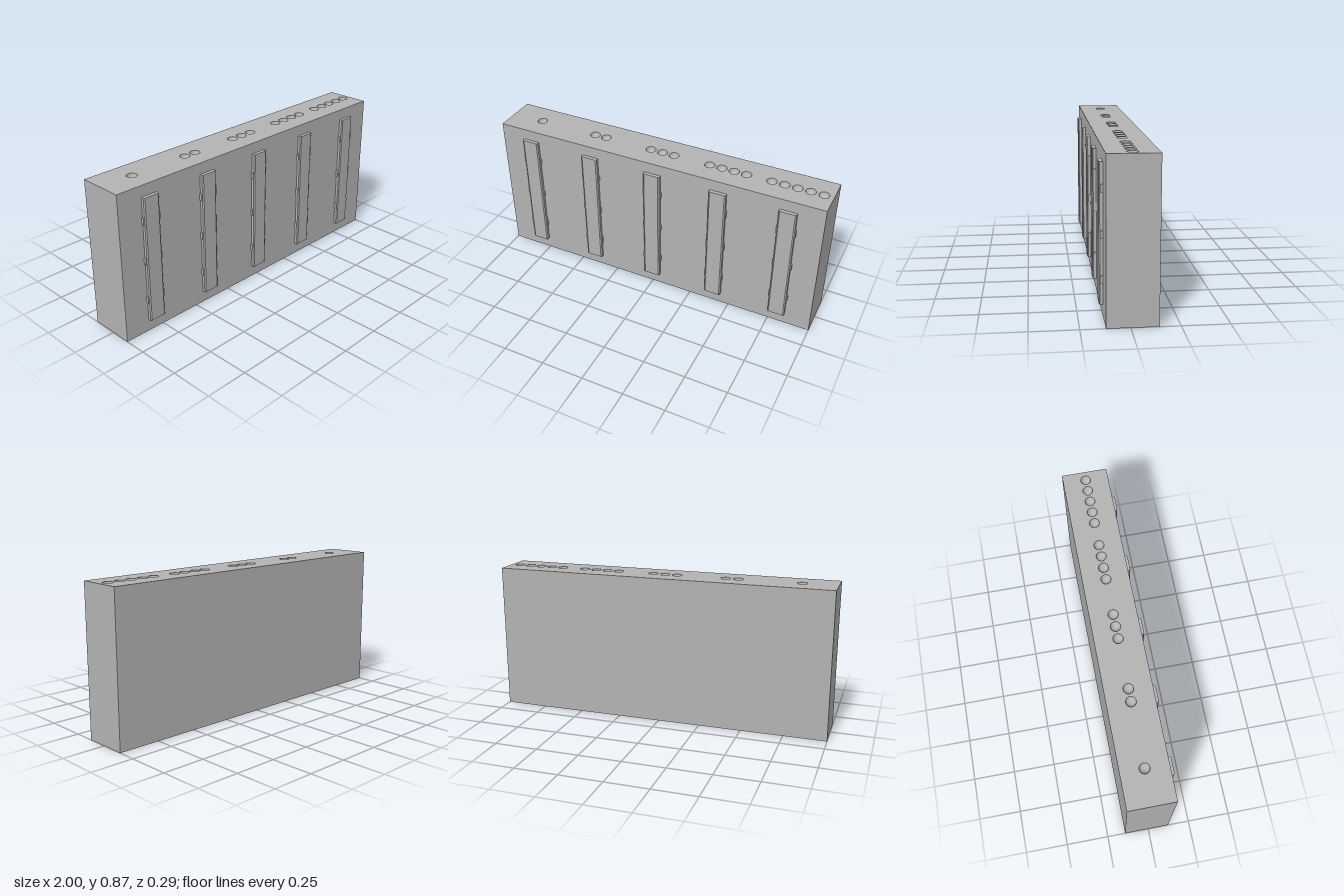
import * as THREE from 'three';

const HEIGHT = 0.865, BACK = -0.143, FRONT = 0.122;
const MID = (BACK + FRONT) / 2, DEPTH = FRONT - BACK;
const HOLE_R = 0.029, HOLE_GAP = 0.0727;

export function createModel() {
  const model = new THREE.Group();
  model.name = 'dottedBlock';
  const grey = new THREE.MeshStandardMaterial({ color: 0xb3b3b3 });
  grey.name = 'grey';

  const add = (geometry, name, x, y, z, parent = model) => {
    const mesh = new THREE.Mesh(geometry, grey);
    mesh.name = name;
    mesh.position.set(x, y, z);
    parent.add(mesh);
    return mesh;
  };

  // Block sides and base: a box without its top face
  const box = new THREE.BoxGeometry(2, HEIGHT, DEPTH);
  const index = Array.from(box.index.array);
  index.splice(12, 6);
  box.setIndex(index);
  box.clearGroups();
  add(box, 'blockBody', 0, HEIGHT / 2, MID);

  // Top face, pierced by groups of one to five holes
  const top = new THREE.Shape();
  top.moveTo(-1, -DEPTH / 2).lineTo(1, -DEPTH / 2).lineTo(1, DEPTH / 2).lineTo(-1, DEPTH / 2);
  top.closePath();

  // Rounded hollow, profile run downwards so it faces inwards
  const bowl = [];
  for (let i = 0; i <= 8; i++) {
    const a = (i / 8) * Math.PI / 2;
    bowl.push(new THREE.Vector2(HOLE_R * Math.cos(a), -HOLE_R * Math.sin(a)));
  }
  bowl[8].x = 0;
  const hollow = new THREE.LatheGeometry(bowl, 32);

  // Strip cross-section (x, z) with chamfered front edges
  const section = new THREE.Shape([
    [-0.05, 0], [0.05, 0], [0.05, 0.016], [0.043, 0.021], [-0.043, 0.021], [-0.05, 0.016],
  ].map(([x, z]) => new THREE.Vector2(x, -z)));
  const strip = new THREE.ExtrudeGeometry(section, { depth: 0.73, bevelEnabled: false });
  strip.rotateX(-Math.PI / 2);
  const tab = new THREE.BoxGeometry(0.008, 0.04, 0.015);

  for (let n = 1; n <= 5; n++) {
    const x = -0.8 + 0.4 * (n - 1);

    // Row of n hollows
    for (let i = 0; i < n; i++) {
      const hx = x + (i - (n - 1) / 2) * HOLE_GAP;
      const path = new THREE.Path();
      path.absarc(hx, 0, HOLE_R, 0, Math.PI * 2, true);
      top.holes.push(path);
      add(hollow, 'hollow', hx, HEIGHT, MID);
    }

    // Front strip with three pairs of side tabs
    const group = new THREE.Group();
    group.name = 'frontStrip' + n;
    group.position.set(x, 0, FRONT);
    model.add(group);
    add(strip, 'strip', 0, 0.07, 0, group);
    for (const y of [0.202, 0.435, 0.669]) {
      for (const s of [-1, 1]) add(tab, 'sideTab', s * 0.052, y, 0.0075, group);
    }
  }

  const topGeometry = new THREE.ShapeGeometry(top, 16);
  topGeometry.rotateX(-Math.PI / 2);
  add(topGeometry, 'topFace', 0, HEIGHT, MID);

  return model;
}
